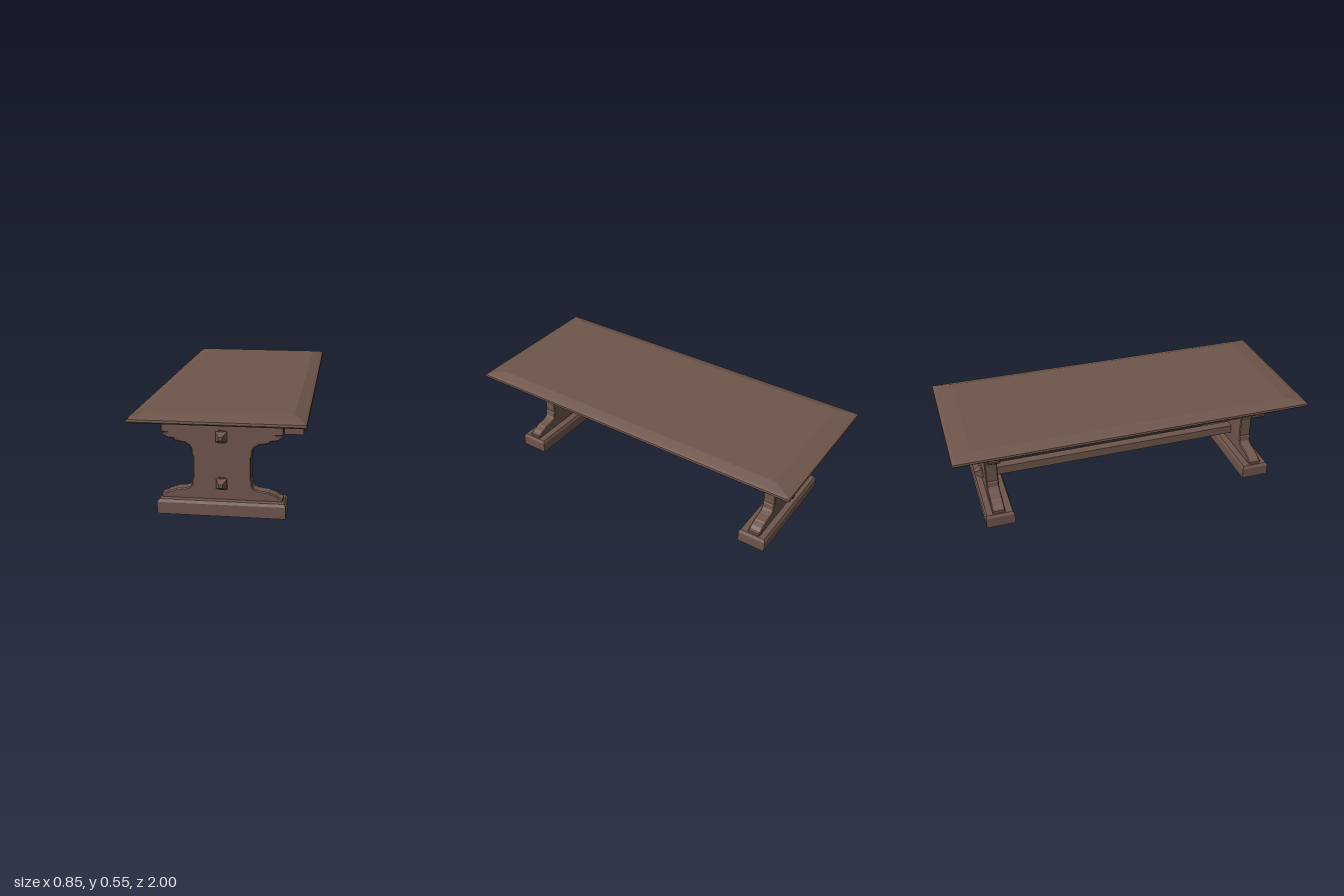
import * as THREE from 'three';

const wood = new THREE.MeshStandardMaterial({ color: 0x6e554b });

function part(parent, name, geometry, x = 0, y = 0, z = 0) {
  const mesh = new THREE.Mesh(geometry, wood);
  mesh.name = name;
  mesh.position.set(x, y, z);
  parent.add(mesh);
  return mesh;
}

// Stack of rectangles [halfX, halfZ, y], bottom to top, with capped ends
function loft(sections) {
  const points = [], index = [];
  for (const [hx, hz, y] of sections) points.push(hx, y, hz, hx, y, -hz, -hx, y, -hz, -hx, y, hz);
  const last = (sections.length - 1) * 4;
  for (let i = 0; i < last; i += 4) {
    for (let j = 0; j < 4; j++) {
      const a = i + j, b = i + (j + 1) % 4;
      index.push(a, b, b + 4, a, b + 4, a + 4);
    }
  }
  index.push(0, 2, 1, 0, 3, 2, last, last + 1, last + 2, last, last + 2, last + 3);
  const indexed = new THREE.BufferGeometry();
  indexed.setAttribute('position', new THREE.Float32BufferAttribute(points, 3));
  indexed.setIndex(index);
  const geometry = indexed.toNonIndexed();
  geometry.computeVertexNormals();
  return geometry;
}

// Right half of the trestle outline, bottom to top
const trestleProfile = [
  [0.305, 0.07], [0.305, 0.09], [0.288, 0.092], [0.27, 0.105], [0.24, 0.115], [0.235, 0.119],
  [0.185, 0.125], [0.16, 0.134], [0.152, 0.145], [0.15, 0.173], [0.145, 0.18], [0.145, 0.292],
  [0.15, 0.3], [0.152, 0.33], [0.162, 0.348], [0.185, 0.362], [0.235, 0.37], [0.24, 0.38],
  [0.275, 0.385], [0.295, 0.395], [0.297, 0.402], [0.285, 0.409], [0.268, 0.413],
  [0.305, 0.413], [0.305, 0.492],
];

function trestleGeometry() {
  const outline = [...trestleProfile, ...trestleProfile.map(([x, y]) => [-x, y]).reverse()];
  const bevel = 0.005;
  return new THREE.ExtrudeGeometry(
    new THREE.Shape(outline.map(([x, y]) => new THREE.Vector2(x, y))),
    {
      depth: 0.07 - 2 * bevel, bevelEnabled: true, bevelThickness: bevel,
      bevelSize: bevel, bevelOffset: -bevel, bevelSegments: 1,
    },
  ).translate(0, 0, -0.035 + bevel);
}

function buildTrestle() {
  const end = new THREE.Group();
  end.name = 'trestle';
  part(end, 'foot', loft([[0.322, 0.08, 0], [0.322, 0.08, 0.06], [0.312, 0.072, 0.075]]), 0, 0, 0.77);
  part(end, 'trestlePanel', trestleGeometry(), 0, 0, 0.773);
  // Faceted tenon ends with a wedge behind each
  for (const y of [0.158, 0.4]) {
    const tenon = loft([[0.027, 0.026, 0], [0.027, 0.026, 0.02], [0.01, 0.009, 0.053]]);
    part(end, 'tenonEnd', tenon.rotateX(Math.PI / 2), 0, y, 0.802);
    part(end, 'wedge', new THREE.BoxGeometry(0.032, 0.064, 0.012), 0, y, 0.812);
  }
  return end;
}

// Long side board with a row of shallow slots
function buildApron() {
  const apron = new THREE.Group();
  apron.name = 'apron';
  const face = new THREE.Shape([[-0.745, 0.415], [0.745, 0.415], [0.745, 0.49], [-0.745, 0.49]]
    .map(([x, y]) => new THREE.Vector2(x, y)));
  for (const z of [-0.588, -0.374, -0.16, 0.16, 0.374, 0.588]) {
    face.holes.push(new THREE.Path([[-1, 0.428], [-1, 0.465], [1, 0.465], [1, 0.428]]
      .map(([side, y]) => new THREE.Vector2(z + side * 0.053, y))));
  }
  const board = new THREE.ExtrudeGeometry(face, { depth: 0.016, bevelEnabled: false });
  part(apron, 'slottedBoard', board.rotateY(Math.PI / 2), 0.285);
  part(apron, 'backingBoard', new THREE.BoxGeometry(0.014, 0.075, 1.49), 0.278, 0.4525, 0);
  return apron;
}

export function createModel() {
  const table = new THREE.Group();
  table.name = 'trestleTable';

  // Bevelled top and the cove moulding beneath it
  part(table, 'tabletop', loft([
    [0.42, 0.995, 0.503], [0.427, 1, 0.51], [0.425, 0.998, 0.521],
    [0.41, 0.98, 0.528], [0.362, 0.89, 0.545],
  ]));
  part(table, 'moulding', loft([
    [0.319, 0.822, 0.486], [0.319, 0.822, 0.491], [0.32, 0.824, 0.496], [0.326, 0.832, 0.504],
  ]));

  // Two stretchers running between the trestles
  part(table, 'lowerStretcher', new THREE.BoxGeometry(0.054, 0.05, 1.5), 0, 0.158, 0);
  part(table, 'upperStretcher', new THREE.BoxGeometry(0.054, 0.05, 1.5), 0, 0.4, 0);

  // Matching pairs of ends and sides
  for (const turn of [0, Math.PI]) {
    for (const build of [buildTrestle, buildApron]) {
      const half = build();
      half.rotation.y = turn;
      table.add(half);
    }
  }
  return table;
}
